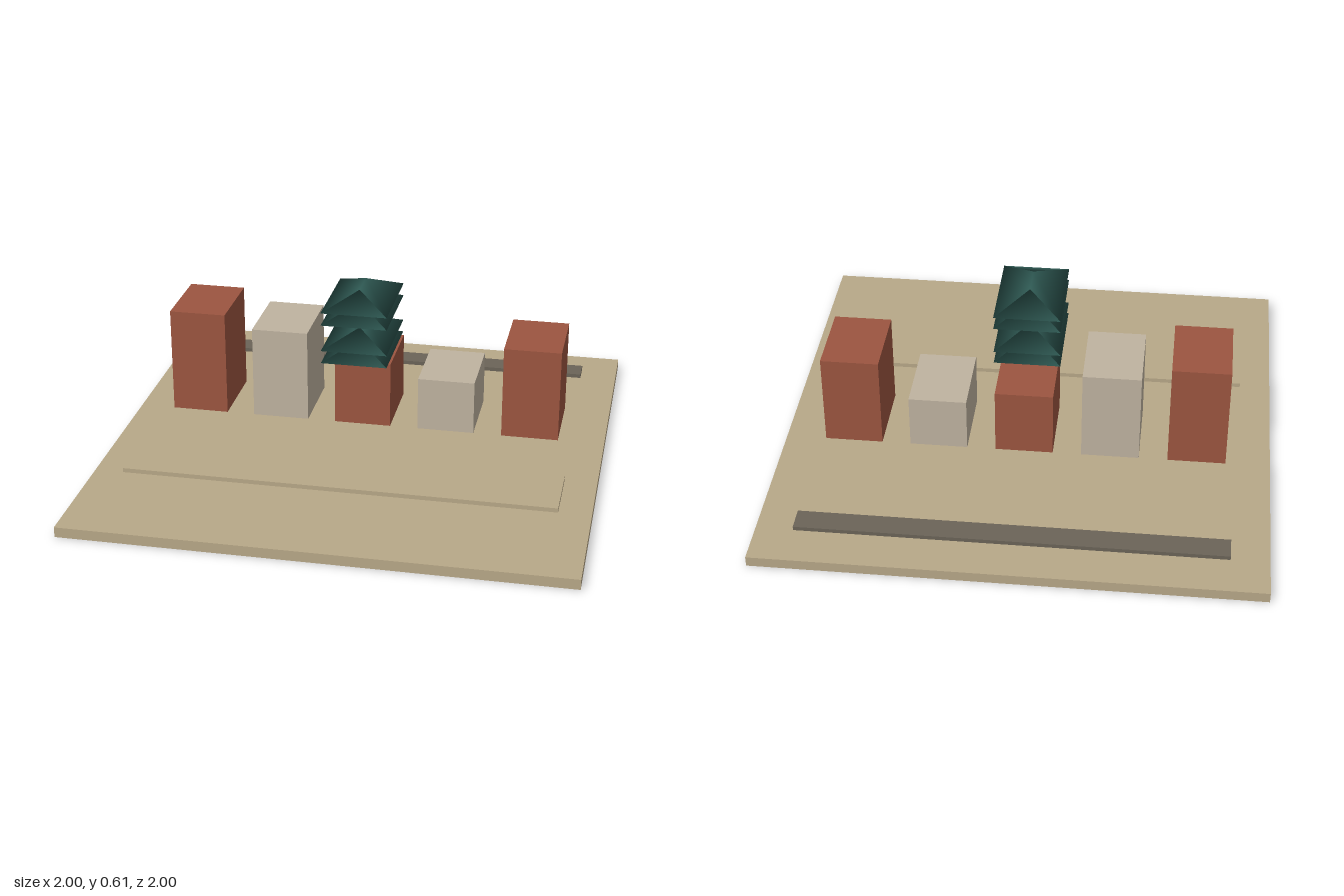
import * as THREE from 'three';

const material = (color) => new THREE.MeshStandardMaterial({ color });

// Box standing from y0 to y1, centred on x, z
function block(name, mat, w, d, y0, y1, x, z) {
  const mesh = new THREE.Mesh(new THREE.BoxGeometry(w, y1 - y0, d), mat);
  mesh.position.set(x, (y0 + y1) / 2, z);
  mesh.name = name;
  return mesh;
}

// Closed hip roof with its ridge along z and soft shared normals
function hipRoof(w, d, h, ridge) {
  const x = w / 2, z = d / 2, r = ridge / 2;
  const geometry = new THREE.BufferGeometry();
  geometry.setAttribute('position', new THREE.Float32BufferAttribute([
    -x, 0, -z, x, 0, -z, x, 0, z, -x, 0, z, 0, h, -r, 0, h, r,
  ], 3));
  geometry.setIndex([
    2, 1, 4, 2, 4, 5, // right slope
    0, 3, 5, 0, 5, 4, // left slope
    3, 2, 5, 1, 0, 4, // hipped ends
    0, 1, 2, 0, 2, 3, // underside
  ]);
  geometry.computeVertexNormals();
  return geometry;
}

export function createModel() {
  const model = new THREE.Group();
  model.name = 'courtyardBlock';

  const sand = material(0xb8a888);
  const brick = material(0x9c5540);
  const stone = material(0xbfb3a0);
  const slate = material(0x6b6458);
  const teal = material(0x2f5a54);

  // The whole site is turned slightly about the vertical
  const site = new THREE.Group();
  site.name = 'site';
  site.rotation.y = -0.22;
  model.add(site);

  // Ground plate, front terrace and rear strip
  site.add(block('ground', sand, 1.675, 1.675, 0, 0.035, 0, 0));
  site.add(block('terrace', sand, 1.46, 0.228, 0.05, 0.065, 0, 0.343));
  site.add(block('rearStrip', slate, 1.42, 0.082, 0.044, 0.058, 0, -0.66));

  // Row of buildings in alternating brick and stone
  const tops = [0.455, 0.41, 0.318, 0.273, 0.41];
  tops.forEach((top, i) => {
    site.add(block(`building${i + 1}`, i % 2 ? stone : brick,
      0.196, 0.267, 0.085, top, (i - 2) * 0.293, -0.128));
  });

  // Stacked roof tiers in two pairs
  const roofs = new THREE.Group();
  roofs.name = 'roofTiers';
  const roofGeometry = hipRoof(0.225, 0.324, 0.052, 0.11);
  [0.375, 0.419, 0.512, 0.556].forEach((y, i) => {
    const roof = new THREE.Mesh(roofGeometry, teal);
    roof.position.y = y;
    roof.name = `roofTier${i + 1}`;
    roofs.add(roof);
  });
  site.add(roofs);

  return model;
}
